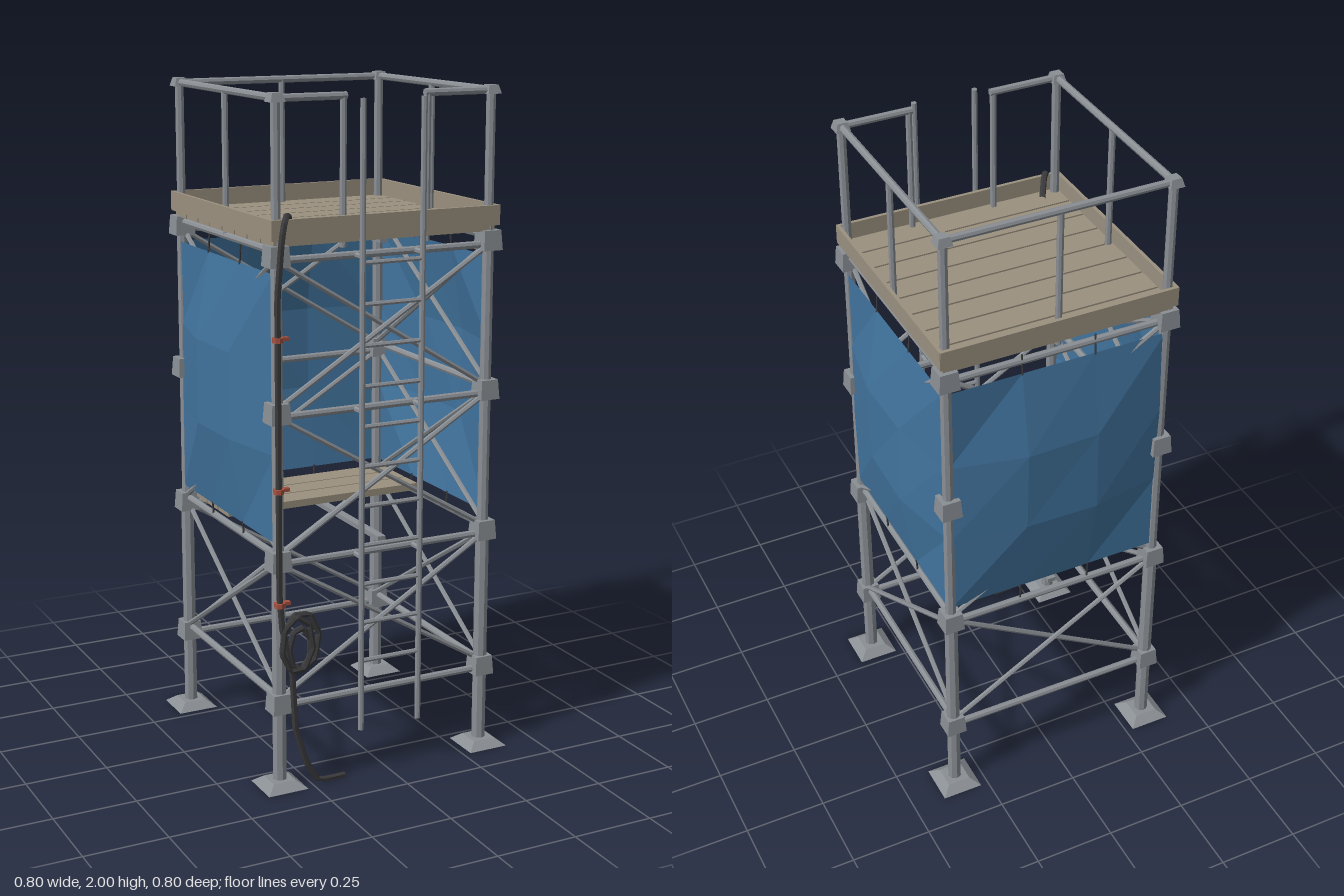
import * as THREE from 'three';

const P = 0.337;                          // corner post offset
const LEVELS = [0.26, 0.69, 1.12, 1.56];  // joint heights

function material(name, color, side = THREE.FrontSide) {
  const m = new THREE.MeshStandardMaterial({ color, flatShading: true, side });
  m.name = name;
  return m;
}

export function createModel() {
  const steel = material('steel grey', 0x8a8f94);
  const wood = material('weathered wood', 0x9a907f);
  const tarpBlue = material('tarp blue', 0x41739d, THREE.DoubleSide);
  const rubber = material('dark rubber', 0x3a3a3c);
  const rust = material('clamp red', 0xa5503f);

  const model = new THREE.Group();
  model.name = 'scaffoldTower';

  const add = (parent, name, geo, mat, x = 0, y = 0, z = 0) => {
    const m = new THREE.Mesh(geo, mat);
    m.name = name;
    m.position.set(x, y, z);
    parent.add(m);
    return m;
  };
  const box = (parent, name, mat, w, h, d, x, y, z) =>
    add(parent, name, new THREE.BoxGeometry(w, h, d), mat, x, y, z);
  // square block tapering from bottom width to top width
  const taper = (parent, name, mat, bottom, top, h, x, y, z) => {
    const g = new THREE.CylinderGeometry(top * Math.SQRT1_2, bottom * Math.SQRT1_2, h, 4).rotateY(Math.PI / 4);
    return add(parent, name, g, mat, x, y, z);
  };
  // round bar between two points
  const bar = (parent, name, mat, a, b, r, sides = 8) => {
    const A = new THREE.Vector3(...a), B = new THREE.Vector3(...b);
    const dir = B.clone().sub(A);
    const m = add(parent, name, new THREE.CylinderGeometry(r, r, dir.length(), sides), mat);
    m.position.copy(A).add(B).multiplyScalar(0.5);
    m.quaternion.setFromUnitVectors(new THREE.Vector3(0, 1, 0), dir.normalize());
    return m;
  };

  // corner posts with feet, joints and caps
  for (const sx of [-1, 1]) for (const sz of [-1, 1]) {
    const post = new THREE.Group();
    post.name = 'cornerPost';
    post.position.set(sx * P, 0, sz * P);
    model.add(post);
    taper(post, 'footPlate', steel, 0.126, 0.07, 0.022, 0, 0.011, 0);
    bar(post, 'lowerLeg', steel, [0, 0.02, 0], [0, 0.69, 0], 0.021);
    bar(post, 'upperLeg', steel, [0, 0.69, 0], [0, 1.59, 0], 0.017);
    bar(post, 'guardPost', steel, [0, 1.58, 0], [0, 1.985, 0], 0.014);
    for (const y of LEVELS) taper(post, 'joint', steel, 0.062, 0.054, 0.058, 0, y, 0);
    taper(post, 'postCap', steel, 0.044, 0.03, 0.025, 0, 1.9875, 0);
  }

  // four sides: rails, braces, guard rail and tarp (k = 0 is the front)
  for (let k = 0; k < 4; k++) {
    const side = new THREE.Group();
    side.name = ['frontSide', 'leftSide', 'backSide', 'rightSide'][k];
    side.rotation.y = k * Math.PI / 2;
    model.add(side);
    const lift = k % 2 ? 0.011 : -0.013;
    for (const y of LEVELS) bar(side, 'rail', steel, [-P, y + lift, P], [P, y + lift, P], 0.011);
    for (let i = 0; i < 3; i++) {
      const y0 = LEVELS[i] + 0.02, y1 = LEVELS[i + 1] - 0.02;
      bar(side, 'brace', steel, [-0.325, y0, P + 0.006], [0.325, y1, P + 0.006], 0.008, 6);
      bar(side, 'brace', steel, [0.325, y0, P - 0.006], [-0.325, y1, P - 0.006], 0.008, 6);
    }
    box(side, 'toeBoard', wood, 0.72, 0.058, 0.011, 0, 1.632, 0.356);

    if (k === 0) {
      // guard rail with an opening for the ladder
      for (const s of [-1, 1]) {
        bar(side, 'guardRail', steel, [s * P, 1.985, P], [s * 0.122, 1.985, P], 0.011);
        bar(side, 'gatePost', steel, [s * 0.132, 1.57, P], [s * 0.132, 1.985, P], 0.01);
      }
      continue;
    }
    bar(side, 'guardRail', steel, [-P, 1.985, P], [P, 1.985, P], 0.011);
    bar(side, 'guardMidPost', steel, [0, 1.57, P], [0, 1.985, P], 0.01);

    // tarp bulging outwards, tied above and below
    const g = new THREE.PlaneGeometry(0.67, 0.77, 3, 3);
    const p = g.attributes.position;
    for (let i = 0; i < p.count; i++) {
      const u = p.getX(i) / 0.335, v = p.getY(i) / 0.385;
      p.setZ(i, 0.042 * (1 - u * u) * (1 - v * v) / 0.79 + 0.004 * Math.sin(5 * u + 3 * v + k) * (1 - v * v));
    }
    add(side, 'tarp', g, tarpBlue, 0, 1.125, 0.346);
    for (const x of [-0.112, 0.112]) {
      bar(side, 'tarpTie', rubber, [x, 1.505, 0.346], [x, 1.57, 0.342], 0.003, 5);
      bar(side, 'tarpTie', rubber, [x, 0.69, 0.342], [x, 0.745, 0.346], 0.003, 5);
    }
  }

  // upper deck planks
  for (let i = 0; i < 8; i++) box(model, 'deckPlank', wood, 0.7, 0.024, 0.082, 0, 1.598, -0.311 + i * 0.0885);
  box(model, 'deckBearer', steel, 0.025, 0.014, 0.66, 0, 1.58, 0);

  // lower half deck
  for (let i = 0; i < 3; i++) box(model, 'lowerPlank', wood, 0.65, 0.022, 0.078, 0, 0.723, -0.245 + i * 0.083);
  box(model, 'lowerBearer', steel, 0.025, 0.014, 0.66, 0, 0.704, 0);

  // ladder with stand-off brackets
  const ladder = new THREE.Group();
  ladder.name = 'ladder';
  model.add(ladder);
  for (const s of [-1, 1]) {
    bar(ladder, 'ladderRail', steel, [s * 0.095, 0.145, 0.384], [s * 0.095, 1.98, 0.384], 0.009);
    for (const y of LEVELS.slice(1)) bar(ladder, 'ladderBracket', steel, [s * 0.095, y - 0.013, P], [s * 0.095, y - 0.013, 0.384], 0.008, 6);
  }
  for (let i = 0; i < 11; i++) {
    const y = 0.36 + i * 0.117;
    bar(ladder, 'rung', steel, [-0.095, y, 0.384], [0.095, y, 0.384], 0.007, 6);
  }

  // hose running down the front right post, with hanging coils and a loose tail
  const hose = (name, pts, r, closed = false) => {
    const path = new THREE.CurvePath();
    const v = pts.map(q => new THREE.Vector3(...q));
    for (let i = 1; i < v.length; i++) path.add(new THREE.LineCurve3(v[i - 1], v[i]));
    if (closed) path.add(new THREE.LineCurve3(v[v.length - 1], v[0]));
    add(model, name, new THREE.TubeGeometry(path, pts.length * 5, r, 6, closed), rubber);
  };
  hose('hose', [
    [-0.268, 1.63, 0.283], [-0.3, 1.672, 0.335], [-0.322, 1.665, 0.365], [-0.338, 1.61, 0.377],
    [-0.352, 1.45, 0.376], [-0.352, 0.6, 0.376], [-0.345, 0.5, 0.378], [-0.315, 0.36, 0.38],
    [-0.307, 0.19, 0.382], [-0.275, 0.08, 0.384], [-0.235, 0.012, 0.384], [-0.147, 0.01, 0.379],
  ], 0.0095);
  for (const [cx, cy, rx, ry, z, turn] of [
    [-0.285, 0.45, 0.058, 0.09, 0.376, 0.2], [-0.3, 0.445, 0.05, 0.085, 0.384, 0.7], [-0.29, 0.43, 0.035, 0.065, 0.38, 0.4],
  ]) {
    const loop = [];
    for (let i = 0; i < 7; i++) {
      const a = turn + i * Math.PI * 2 / 7;
      loop.push([cx + rx * Math.cos(a), cy + ry * Math.sin(a), z]);
    }
    hose('hoseCoil', loop, 0.009, true);
  }

  // hose clamps
  for (const y of [1.335, 0.905, 0.57]) {
    add(model, 'hoseClamp', new THREE.CylinderGeometry(0.016, 0.016, 0.014, 8), rust, -0.352, y, 0.376);
    box(model, 'clampBolt', rust, 0.045, 0.01, 0.016, -0.338, y, 0.366);
  }
  return model;
}
